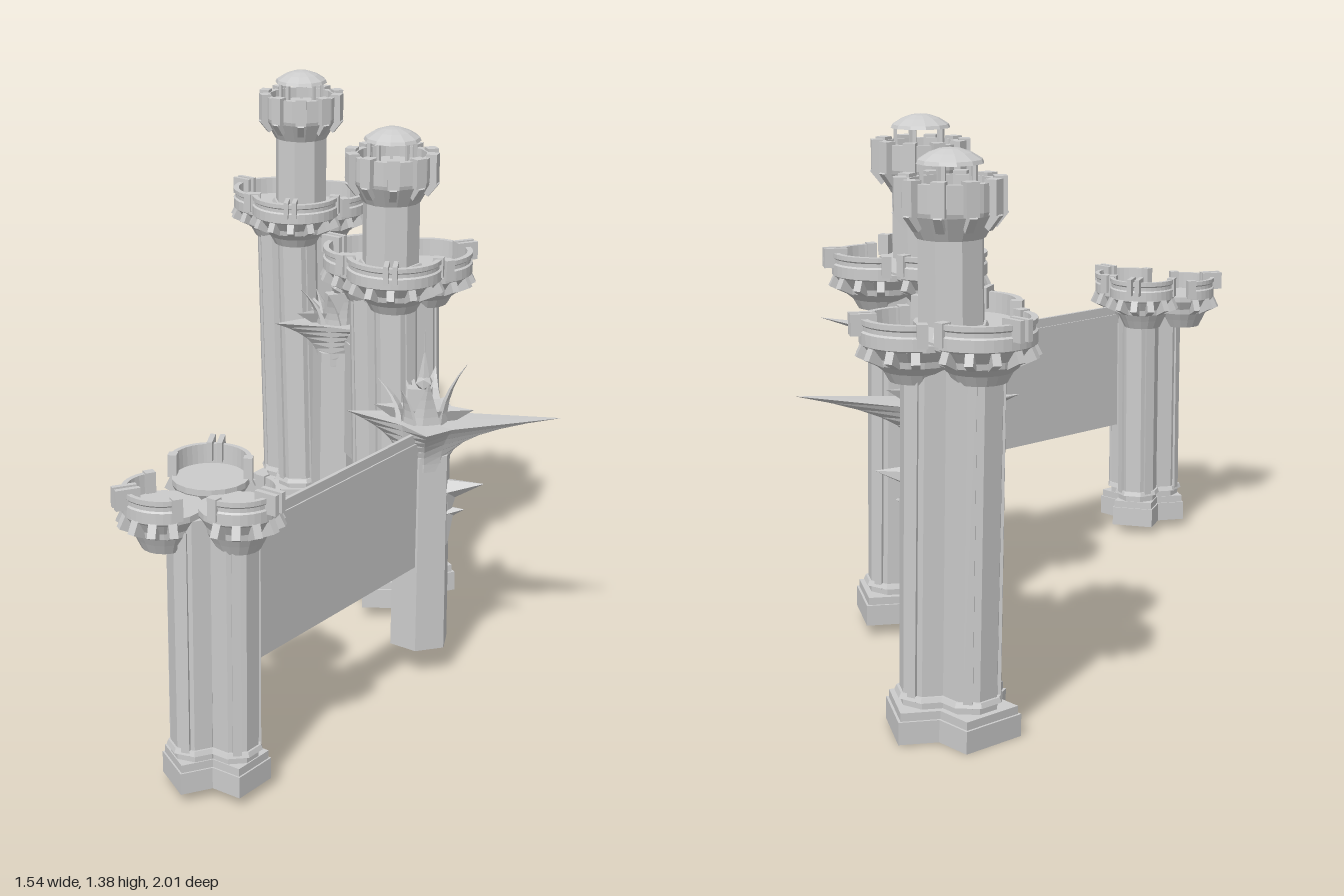
import * as THREE from 'three';

const MAT = new THREE.MeshStandardMaterial({ color: 0xcccccc, flatShading: true, side: THREE.DoubleSide });
const V2 = (p) => p.map(([x, y]) => new THREE.Vector2(x, y));

function add(parent, name, geo, x = 0, y = 0, z = 0) {
  const m = new THREE.Mesh(geo, MAT);
  m.name = name;
  m.position.set(x, y, z);
  parent.add(m);
  return m;
}
function group(parent, name, x = 0, y = 0, z = 0, ry = 0) {
  const g = new THREE.Group();
  g.name = name;
  g.position.set(x, y, z);
  g.rotation.y = ry;
  parent.add(g);
  return g;
}
const box = (w, h, d) => new THREE.BoxGeometry(w, h, d);
const cyl = (rt, rb, h, n) => new THREE.CylinderGeometry(rt, rb, h, n);

// Three joined columns on a stepped plinth; local +x lobe first
function shaft(parent, o) {
  const g = group(parent, 'clusteredShaft', o.x + o.footDx, o.y0, o.z);
  g.rotation.z = o.tilt;
  const h = o.top - 0.07 - o.y0;
  for (let i = 0; i < 3; i++) {
    const arm = group(g, 'column', 0, 0, 0, o.turn + (i * Math.PI * 2) / 3);
    const d = o.colOff, r = o.colR, s = o.plinth * 2;
    add(arm, 'plinth', box(s, 0.055, s), d, 0.0275, 0);
    add(arm, 'plinthStep', box(s * 0.93, 0.02, s * 0.93), d, 0.065, 0);
    add(arm, 'footRing', cyl(r * 1.08, r * 1.16, 0.012, 8).rotateY(Math.PI / 8), d, 0.1, 0);
    add(arm, 'columnBody', cyl(r * 1.03, r * 0.98, h, 8).rotateY(Math.PI / 8), d, h / 2, 0);
    // raised strips along the column
    for (const a of [-0.8, 0.8])
      add(arm, 'strip', box(0.012, h - 0.12, 0.022).rotateY(-a),
        d + Math.cos(a) * r * 0.94, h / 2 + 0.03, Math.sin(a) * r * 0.94);
    // pointed bracket below the crown
    add(arm, 'pointedBracket', cyl(r * 0.75, 0.004, 0.1, 4), d + r * 0.5, h - 0.07, 0);
  }
}

// Three-lobed crown with floor, corbels, parapet and horn pairs
function crown(parent, o) {
  const g = group(parent, 'lobedCrown', o.x, o.top, o.z);
  const R = o.lobeR, a = o.arc;
  for (let i = 0; i < 3; i++) {
    const up = [0, 0.012, -0.006][i];
    const lobe = group(group(g, 'lobe', 0, up - 0.008, 0, o.turn + (i * Math.PI * 2) / 3), 'lobeBody', o.lobeOff);
    const n = 18;
    const flare = V2([[0, -0.14], [o.colR * 0.9, -0.14], [o.colR * 1.1, -0.115], [R * 0.78, -0.095],
      [R * 0.8, -0.08], [R * 0.95, -0.055], [R * 0.95, -0.04], [0, -0.04]]);
    add(lobe, 'flaredFloor', new THREE.LatheGeometry(flare, n));
    const wall = V2([[R * 0.95, -0.055], [R, -0.05], [R, -0.022], [R * 0.96, -0.018], [R * 0.96, -0.008],
      [R, -0.004], [R, 0.008], [R * 0.88, 0.008], [R * 0.86, -0.04]]);
    add(lobe, 'parapet', new THREE.LatheGeometry(wall, n, Math.PI / 2 - a, 2 * a));
    for (let k = -3; k <= 3; k++) {
      const t = (k / 3) * a * 0.92;
      add(lobe, 'corbel', box(0.045, 0.045, 0.02).rotateZ(0.45).rotateY(-t),
        Math.cos(t) * R * 0.84, -0.068, Math.sin(t) * R * 0.84);
    }
    for (const s of [-1, 1]) {
      add(lobe, 'hornBlock', box(0.06, 0.05, 0.013), R * 0.94, -0.005, s * 0.012);
      const t = s * a;
      add(lobe, 'parapetEnd', box(R * 0.22, 0.055, 0.025).rotateY(-t),
        Math.cos(t) * R * 0.92, -0.016, Math.sin(t) * R * 0.92);
    }
  }
}

// Octagonal upper turret with toothed gallery and raised dome
function turret(parent, o) {
  const g = group(parent, 'turret', o.x + o.turretDx, 0, o.z + o.turretDz);
  add(g, 'turretShaft', cyl(0.079, 0.079, 0.32, 8).rotateY(Math.PI / 8), 0, 1.05, 0);
  add(g, 'turretFoot', cyl(0.085, 0.1, 0.03, 8).rotateY(Math.PI / 8), 0, o.top - 0.04, 0);
  const gal = V2([[0.079, 1.17], [0.11, 1.225], [0.113, 1.235], [0.113, 1.3], [0.095, 1.3], [0.095, 1.27], [0, 1.27]]);
  add(g, 'gallery', new THREE.LatheGeometry(gal, 16));
  for (let i = 0; i < 10; i++) {
    const a = ((i + 0.5) * Math.PI) / 5;
    const arm = group(g, 'galleryArm', 0, 0, 0, a);
    add(arm, 'buttress', box(0.03, 0.08, 0.032), 0.113, 1.268, 0);
    add(arm, 'buttressFoot', box(0.045, 0.03, 0.02).rotateZ(0.9), 0.106, 1.218, 0);
    if (i % 2) add(arm, 'domePost', box(0.009, 0.075, 0.009), 0.065, 1.305, 0);
  }
  const dome = V2([[0, 1.337], [0.078, 1.337], [0.074, 1.346], [0.05, 1.361], [0.025, 1.37], [0, 1.373]]);
  add(g, 'dome', new THREE.LatheGeometry(dome, 12));
}

function tower(parent, name, o) {
  const g = group(parent, name);
  shaft(g, o);
  crown(g, o);
  if (o.turret) turret(g, o);
}

// Four-pointed star platform, sweeping down in a hollow curve to the pylon
function starGeometry() {
  const spokes = [[0, 0.355], [40, 0.11], [80, 0.145], [130, 0.075], [180, 0.2], [230, 0.075], [283, 0.165], [320, 0.1]];
  const rings = 7, n = spokes.length, pos = [], idx = [];
  for (let j = 0; j <= rings; j++) {
    const s = j / rings;
    for (const [deg, R] of spokes) {
      const a = (deg * Math.PI) / 180, r = 0.066 + (R - 0.066) * Math.pow(s, 2.3);
      const y = 0.58 + 0.125 * Math.pow(s, 0.9) + s * Math.max(0, R - 0.1) * 0.1;
      pos.push(r * Math.cos(a), y, r * Math.sin(a));
    }
  }
  pos.push(0, 0.7, 0);
  for (let i = 0; i < n; i++) {
    const k = (i + 1) % n;
    for (let j = 0; j < rings; j++) {
      const p = j * n + i, q = j * n + k;
      idx.push(p, p + n, q, q, p + n, q + n);
    }
    idx.push(rings * n + i, (rings + 1) * n, rings * n + k);
  }
  const geo = new THREE.BufferGeometry();
  geo.setAttribute('position', new THREE.Float32BufferAttribute(pos, 3));
  geo.setIndex(idx);
  geo.computeVertexNormals();
  return geo;
}

// Flattened blade that bends outward (+x) as it rises
function blade(h, w, bend, thick = 0.35) {
  const geo = new THREE.CylinderGeometry(0.001, w, h, 5, 5).translate(0, h / 2, 0);
  const p = geo.attributes.position;
  for (let i = 0; i < p.count; i++) {
    const t = p.getY(i) / h;
    p.setXYZ(i, p.getX(i) * thick + bend * t * t, p.getY(i), p.getZ(i));
  }
  geo.computeVertexNormals();
  return geo;
}

function pylon(parent, x, z, y0, turn) {
  const g = group(parent, 'starPylon', x, 0, z, turn);
  add(g, 'pylonShaft', cyl(0.078, 0.082, 0.62 - y0, 6).scale(1, 1, 0.88), 0, (0.62 + y0) / 2, 0);
  add(g, 'starPlatform', starGeometry());
  // blades: angle, distance, height, width, outward bend
  for (const [deg, d, h, w, b] of [[0, 0.05, 0.16, 0.04, 0.06], [180, 0.06, 0.11, 0.04, 0.06],
    [70, 0.035, 0.12, 0.045, 0.02], [-70, 0.035, 0.13, 0.045, 0.03], [135, 0.045, 0.1, 0.035, 0.03], [-135, 0.045, 0.09, 0.035, 0.03]]) {
    const arm = group(g, 'bladeArm', 0, 0.7, 0, (-deg * Math.PI) / 180);
    add(arm, 'blade', blade(h, w, b), d, 0, 0);
  }
  // narrow boat-shaped cradle and its centrepiece
  add(g, 'cradle', new THREE.CylinderGeometry(0.13, 0.08, 0.035, 4, 1, true).scale(1, 1, 0.33).rotateY(0), 0, 0.72, 0)
    .geometry.rotateY(0);
  add(g, 'centreBlock', box(0.06, 0.08, 0.035), -0.01, 0.75, 0);
  add(g, 'centreKnob', new THREE.IcosahedronGeometry(0.024, 0), 0, 0.805, 0);
  add(g, 'centreSpike', new THREE.ConeGeometry(0.018, 0.09, 5), 0, 0.85, 0);
  add(g, 'needle', cyl(0.001, 0.003, 0.12, 4), 0, 0.89, 0);
  // side thorns below the long point
  for (const [y, len, r] of [[0.515, 0.1, 0.035], [0.45, 0.05, 0.022]]) {
    const t = add(g, 'thorn', blade(len, r, 0, 0.9), 0.062, y, 0);
    t.rotation.z = -Math.PI / 2 + 0.2;
    const u = add(g, 'thornRoot', blade(0.09, r * 0.9, 0, 0.8), 0.07, y, 0);
    u.rotation.z = Math.PI;
  }
}

// Thin curtain wall with a coping strip, between two ground points
function wall(parent, [x1, z1], [x2, z2]) {
  const L = Math.hypot(x2 - x1, z2 - z1);
  const g = group(parent, 'curtainWall', (x1 + x2) / 2, 0, (z1 + z2) / 2, Math.atan2(-(z2 - z1), x2 - x1));
  add(g, 'wallPanel', box(L, 0.375, 0.01), 0, 0.5025, 0);
  add(g, 'wallCoping', box(L, 0.028, 0.018), 0, 0.65, 0);
}

export function createModel() {
  const model = new THREE.Group();
  model.name = 'castleWall';
  const big = { lobeR: 0.13, lobeOff: 0.088, arc: 1.5, colOff: 0.06, colR: 0.07, plinth: 0.085,
    footDx: 0.018, tilt: 0.03, turn: Math.PI, turret: true };
  tower(model, 'rearTower', { ...big, x: -0.54, z: -0.8, y0: 0, top: 1.0, turretDx: 0.004, turretDz: -0.005 });
  tower(model, 'middleTower', { ...big, x: 0.125, z: -0.352, y0: 0.025, top: 1.025, turretDx: -0.01, turretDz: 0.015 });
  tower(model, 'frontTower', { lobeR: 0.098, lobeOff: 0.1, arc: 1.55, colOff: 0.055, colR: 0.06, plinth: 0.062,
    footDx: 0.03, tilt: 0, turn: 0, x: 0.37, z: 0.795, y0: 0.02, top: 0.785 });

  const p1 = [-0.225, -0.575], p2 = [0.44, -0.02];
  pylon(model, ...[p1[0], p1[1]], 0.05, 0.98);
  pylon(model, ...p2, 0.075, 0.464);
  wall(model, [-0.45, -0.75], p1);
  wall(model, p1, [0.03, -0.4]);
  wall(model, [0.22, -0.3], p2);
  wall(model, [0.46, -0.01], [0.46, 0.74]);
  return model;
}
